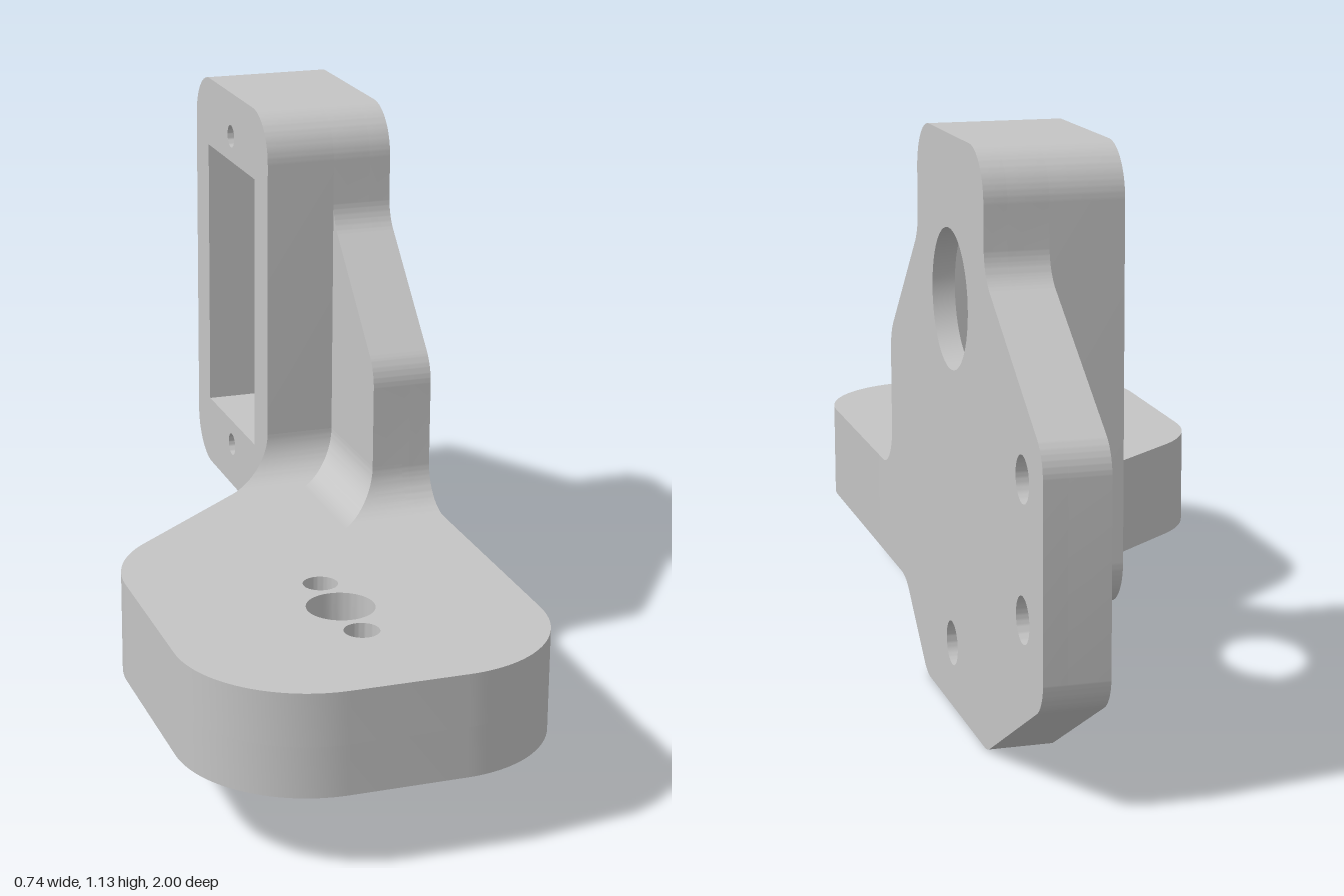
import * as THREE from 'three';
import { toCreasedNormals } from 'three/addons/utils/BufferGeometryUtils.js';

const metal = new THREE.MeshStandardMaterial({ color: 0xc4c4c4 });
metal.name = 'plain grey';

// Closed outline from [x, y, cornerRadius] points
function roundedOutline(points, ShapeType = THREE.Shape) {
  const shape = new ShapeType();
  const n = points.length;
  points.forEach(([x, y, r = 0], i) => {
    const a = points[(i + n - 1) % n], b = points[(i + 1) % n];
    const p = new THREE.Vector2(x, y);
    const da = new THREE.Vector2(a[0] - x, a[1] - y).normalize();
    const db = new THREE.Vector2(b[0] - x, b[1] - y).normalize();
    const turn = Math.PI - Math.acos(THREE.MathUtils.clamp(da.dot(db), -1, 1));
    const t = r * Math.tan(turn / 2);
    const c = t - (4 / 3) * Math.tan(turn / 4) * r;
    const at = (dir, d) => p.clone().addScaledVector(dir, d);
    const start = at(da, t), end = at(db, t), c1 = at(da, c), c2 = at(db, c);
    if (i === 0) shape.moveTo(start.x, start.y);
    else shape.lineTo(start.x, start.y);
    if (r) shape.bezierCurveTo(c1.x, c1.y, c2.x, c2.y, end.x, end.y);
  });
  shape.closePath();
  return shape;
}

const circle = (x, y, r) => new THREE.Path().absarc(x, y, r, 0, Math.PI * 2, true);

function extrude(shape, depth, segments = 28) {
  return new THREE.ExtrudeGeometry(shape, { depth, bevelEnabled: false, curveSegments: segments });
}

// Side outlines are given as [z, y, radius] and drawn counter-clockwise with x = -z
const flip = (pts) => pts.map(([z, y, r]) => [-z, y, r]).reverse();
const sideSlab = (shape, x0, x1) =>
  extrude(shape, x1 - x0).rotateY(Math.PI / 2).translate(x0, 0, 0);
// Flat outlines use [x, -z, radius]
const flatSlab = (shape, y0, y1) =>
  extrude(shape, y1 - y0).rotateX(-Math.PI / 2).translate(0, y0, 0);

export function createModel() {
  const model = new THREE.Group();
  model.name = 'bracket';
  const body = new THREE.Group();
  body.name = 'bracketBody';
  body.rotation.y = 0.083;
  model.add(body);

  const add = (name, geometry) => {
    const mesh = new THREE.Mesh(toCreasedNormals(geometry, 0.5), metal);
    mesh.name = name;
    body.add(mesh);
  };

  const right = 0.31, pocketFloor = 0.265, plateInner = 0.186, housingLeft = 0.042;
  const baseBottom = 0.154, baseMiddle = 0.254, baseTop = 0.358;
  const front = -0.085, back = -0.594, mid = (front + back) / 2;

  // Upright plate, with its outline running into the base
  const plateShape = () => {
    const shape = roundedOutline(flip([
      [-0.125, 0, 0.08], [0.058, baseBottom, 0.1], [0.3, baseBottom], [0.3, baseTop],
      [0.17, baseTop, 0.09], [0.17, 0.655, 0.09], [front, 0.91, 0.09], [front, 1.135, 0.1],
      [back, 1.135, 0.1], [back, 0.908, 0.09], [-0.978, 0.66, 0.08],
      [-0.978, 0.21, 0.08], [-0.6, 0, 0.08],
    ]));
    for (const [z, y] of [[-0.848, 0.589], [-0.848, 0.332], [-0.336, 0.13]])
      shape.holes.push(circle(-z, y, 0.044));
    return shape;
  };
  const windowHole = () => roundedOutline(flip([
    [mid - 0.165, 0.395], [mid + 0.165, 0.395], [mid + 0.165, 0.985], [mid - 0.165, 0.985],
  ]), THREE.Path);

  const outerPlate = plateShape();
  outerPlate.holes.push(circle(-mid, 0.818, 0.137));
  add('uprightPlateOuter', sideSlab(outerPlate, pocketFloor, right));

  const innerPlate = plateShape();
  innerPlate.holes.push(windowHole());
  add('uprightPlateInner', sideSlab(innerPlate, plateInner, pocketFloor));

  // Housing frame around the pocket, with two blind screw holes
  const frame = roundedOutline(flip([
    [front, 0.245, 0.1], [front, 1.135, 0.1], [back, 1.135, 0.1], [back, 0.245, 0.1],
  ]));
  frame.holes.push(windowHole(), circle(-mid, 1.04, 0.024), circle(-mid, 0.34, 0.024));
  add('housingFrame', sideSlab(frame, housingLeft, plateInner));

  // Base: slotted lower layer and drilled upper layer
  const baseShape = () => roundedOutline([
    [right, -0.989, 0.24], [right, -front], [housingLeft, -front],
    [-0.405, -0.288, 0.25], [-0.405, -0.989, 0.25],
  ]);
  const holeX = -0.047, holeZ = 0.632, spread = 0.117, slotR = 0.068;
  const lower = baseShape();
  const slot = new THREE.Path();
  slot.absarc(holeX, -holeZ + spread, slotR, 0, Math.PI, false);
  slot.absarc(holeX, -holeZ - spread, slotR, Math.PI, Math.PI * 2, false);
  slot.closePath();
  lower.holes.push(slot);
  add('baseLower', flatSlab(lower, baseBottom, baseMiddle));

  const upper = baseShape();
  upper.holes.push(circle(holeX, -holeZ, 0.066));
  for (const s of [-1, 1]) upper.holes.push(circle(holeX, -holeZ + s * spread, 0.034));
  add('baseUpper', flatSlab(upper, baseMiddle, baseTop));

  // Concave fillets on the base top; place(d, t) gives [x, z]
  const fillet = (name, place) => {
    const r = 0.09;
    const profile = new THREE.Shape();
    profile.moveTo(0, baseTop);
    profile.lineTo(r, baseTop);
    profile.absarc(r, baseTop + r, r, -Math.PI / 2, -Math.PI, true);
    profile.closePath();
    const geometry = extrude(profile, 1, 12);
    const pos = geometry.attributes.position;
    for (let i = 0; i < pos.count; i++) {
      const [x, z] = place(pos.getX(i), pos.getZ(i));
      pos.setXYZ(i, x, pos.getY(i), z);
    }
    geometry.computeVertexNormals();
    add(name, geometry);
  };
  const mix = THREE.MathUtils.lerp;
  fillet('housingFillet', (d, t) => [mix(0.25, housingLeft - d * 1.198, t), front + d]);
  fillet('plateFrontFillet', (d, t) => [mix(0.25, plateInner - d, t), 0.17 + d]);
  fillet('plateInnerFillet', (d, t) => [plateInner - d, mix(0.17 + d, front, t)]);

  return model;
}
